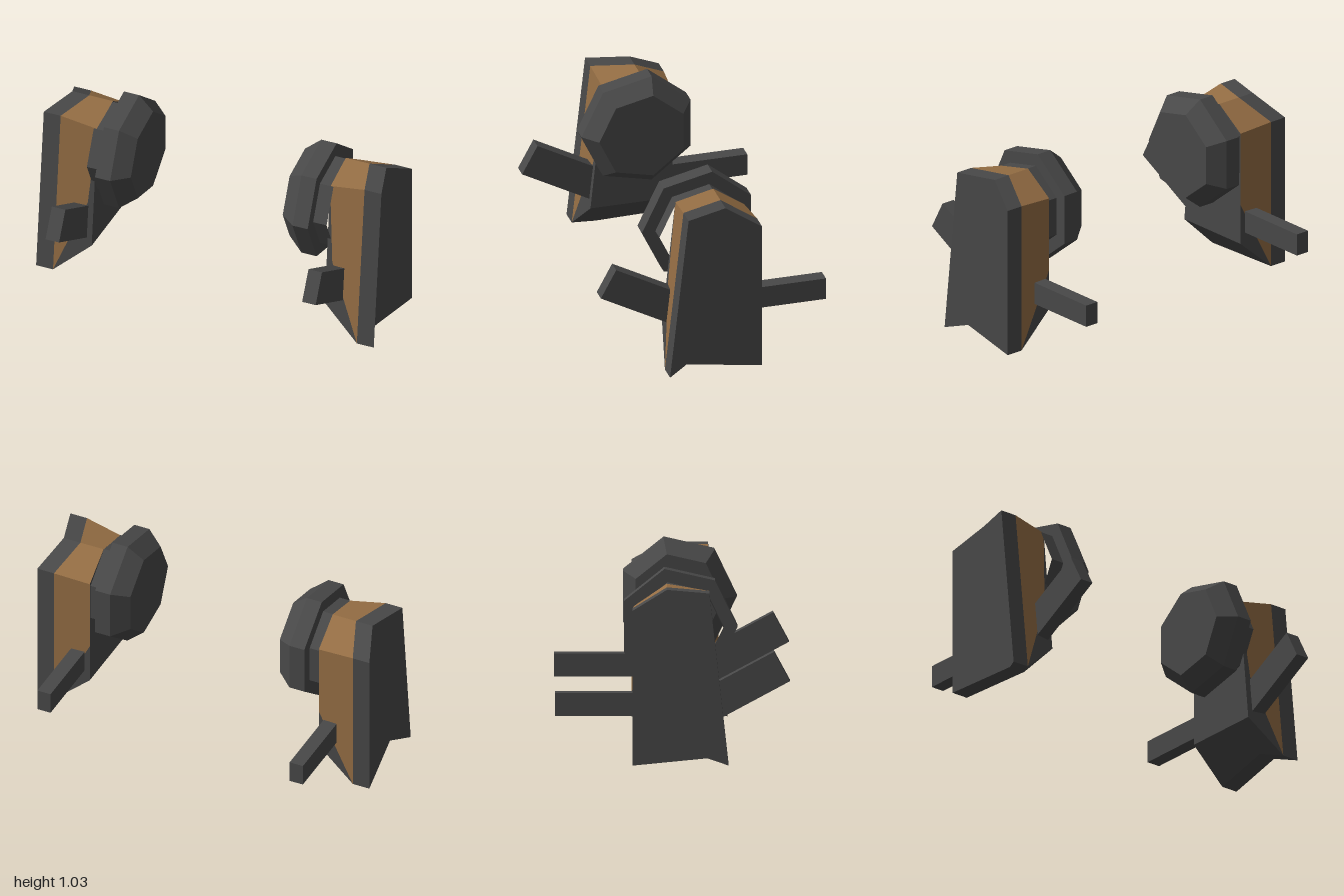
import * as THREE from 'three';

const darkGrey = new THREE.MeshStandardMaterial({ color: 0x484848 });
const brown = new THREE.MeshStandardMaterial({ color: 0x956e44 });
darkGrey.name = 'dark grey';
brown.name = 'brown';

const BODY_CENTRE = new THREE.Vector3(0.82, 0.5, 0.02);

// Builds flat polygons (fanned from their first corner), all facing away from the body centre.
function polygons(faces, side) {
  const positions = [], normals = [];
  const centre = BODY_CENTRE.clone();
  centre.x *= side;
  for (const face of faces) {
    const pts = face.map(([x, y, z]) => new THREE.Vector3(x * side, y, z));
    const normal = new THREE.Vector3(), middle = new THREE.Vector3();
    pts.forEach((p, i) => {
      normal.add(p.clone().cross(pts[(i + 1) % pts.length]));
      middle.addScaledVector(p, 1 / pts.length);
    });
    normal.normalize();
    if (normal.dot(middle.sub(centre)) < 0) {
      normal.negate();
      pts.push(...pts.splice(1).reverse()); // keep the first corner as the fan's hub
    }
    for (let i = 1; i < pts.length - 1; i++) {
      for (const p of [pts[0], pts[i], pts[i + 1]]) {
        positions.push(p.x, p.y, p.z);
        normals.push(normal.x, normal.y, normal.z);
      }
    }
  }
  const geometry = new THREE.BufferGeometry();
  geometry.setAttribute('position', new THREE.Float32BufferAttribute(positions, 3));
  geometry.setAttribute('normal', new THREE.Float32BufferAttribute(normals, 3));
  return geometry;
}

function mesh(name, geometry, material) {
  const m = new THREE.Mesh(geometry, material);
  m.name = name;
  return m;
}

function createPod(side) {
  const pod = new THREE.Group();
  pod.name = side > 0 ? 'leftPod' : 'rightPod';

  // Outer slab profile, starting at the notch in the bottom edge: [y, z, inset]
  const profile = [
    [0.035, 0.19, 0.07], [0.005, 0.305, 0], [0.95, 0.2, 0],
    [0.96, -0.03, 0.07], [0.855, -0.217, 0], [0.005, -0.217, 0],
  ];
  const outer = profile.map(([y, z, inset]) => [1 - inset, y, z]);
  const inner = profile.map(([y, z, inset]) => [0.9 - inset, y, z]);
  const rim = outer.map((p, i) => {
    const j = (i + 1) % outer.length;
    return [p, outer[j], inner[j], inner[i]];
  });
  pod.add(mesh('outerPlate', polygons([outer, ...rim], side), darkGrey));

  // Corners of the body's inner wall
  const [notch, frontFoot, frontTop, peak, backTop, backFoot] = inner;
  const wallFrontTop = [0.69, 0.91, 0.185], wallPeak = [0.69, 0.96, -0.03];
  const wallBackTop = [0.69, 0.84, -0.205], wallBackMid = [0.69, 0.42, -0.205];
  const wallBackLow = [0.69, 0.19, -0.205], wallFrontLow = [0.69, 0.19, 0.26];
  const frontBend = [0.724, 0.45, 0.235];

  pod.add(mesh('brownBody', polygons([
    [frontBend, frontFoot, frontTop, wallFrontTop],
    [frontTop, peak, wallPeak, wallFrontTop],
    [peak, backTop, wallBackTop, wallPeak],
    [backFoot, backTop, wallBackTop, wallBackMid],
  ], side), brown));

  pod.add(mesh('innerWall', polygons([
    [wallFrontTop, wallPeak, wallBackTop, wallBackMid, wallBackLow, wallFrontLow],
    [frontBend, wallFrontTop, wallFrontLow, frontFoot],
    [wallBackMid, wallBackLow, backFoot],
    [notch, frontFoot, wallFrontLow, wallBackLow, backFoot],
  ], side), darkGrey));

  // Seven-sided bevelled disc with its hub
  const discProfile = [[0, 0.45], [0.25, 0.45], [0.325, 0.54], [0.325, 0.63], [0.25, 0.63], [0.25, 0.71]];
  const disc = new THREE.LatheGeometry(discProfile.map(([r, y]) => new THREE.Vector2(r, y)), 7).toNonIndexed();
  disc.computeVertexNormals();
  disc.rotateZ(-side * Math.PI / 2);
  disc.translate(0, 0.715, 0.03);
  pod.add(mesh('disc', disc, darkGrey));

  // Raised front bar and level back bar
  const frontBar = mesh('frontBar', new THREE.BoxGeometry(0.08, 0.183, 0.5), darkGrey);
  frontBar.position.set(0.76 * side, 0.401, 0.375);
  frontBar.rotation.x = -0.495;
  const backBar = mesh('backBar', new THREE.BoxGeometry(0.08, 0.125, 0.53), darkGrey);
  backBar.position.set(0.76 * side, 0.3125, -0.372);
  pod.add(frontBar, backBar);
  return pod;
}

export function createModel() {
  const model = new THREE.Group();
  model.name = 'twinPods';
  for (const side of [1, -1]) model.add(createPod(side));
  return model;
}
